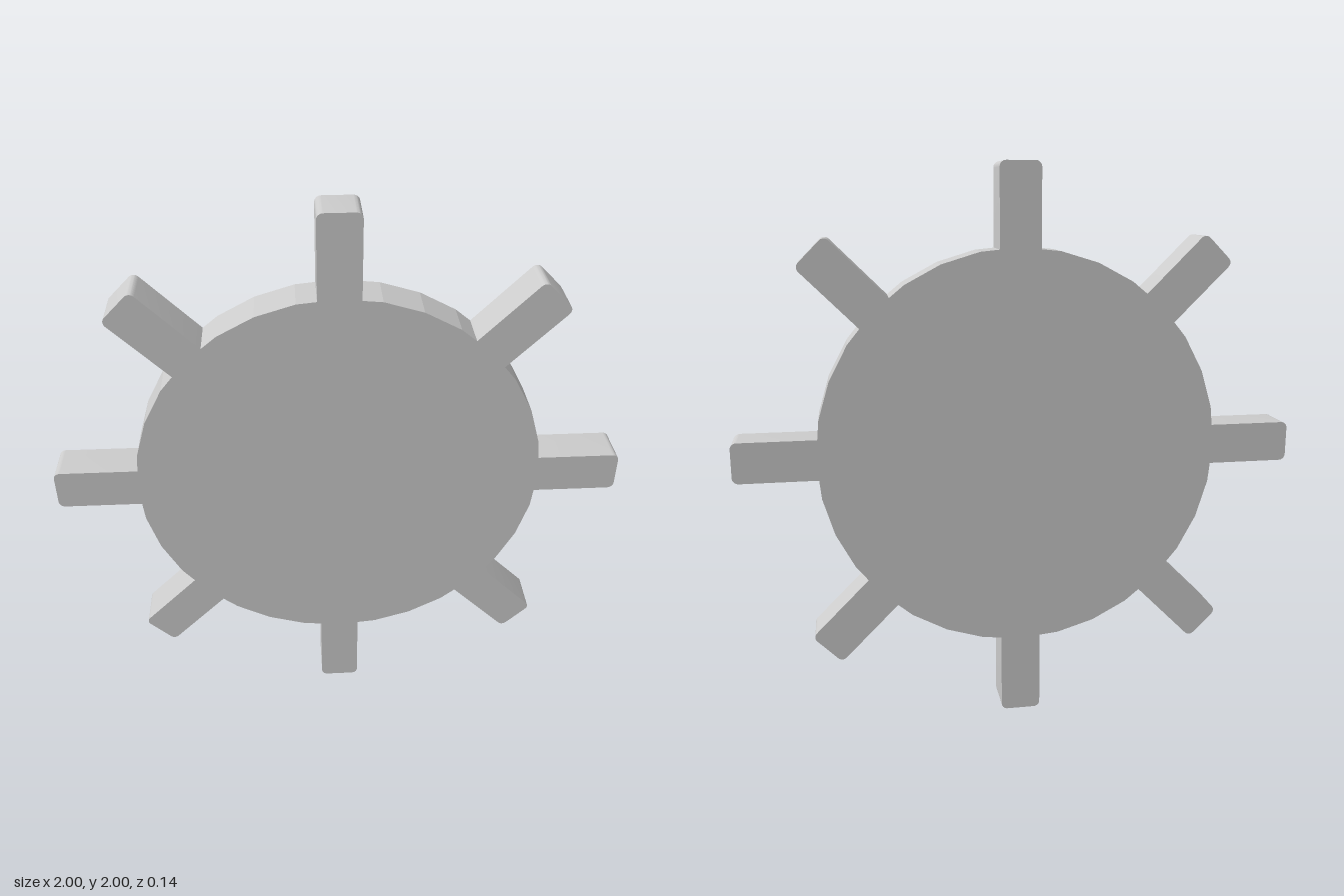
import * as THREE from 'three';
import { toCreasedNormals } from 'three/addons/utils/BufferGeometryUtils.js';

const SPOKES = 8;
const RIM = 0.715;     // radius of the 32-sided disc
const TIP = 1;         // reach of the spokes
const HALF = 0.072;    // half width and half depth of a spoke
const CORNER = 0.022;  // rounding of the spoke tips
const STEPS = 10;      // segments per rounded corner

// Outline of one spoke along +x plus the rim up to the next spoke
function sectorPoints() {
  const side = Math.PI / 16;
  const root = RIM - HALF * Math.tan(side / 2); // where the spoke meets the rim facet
  const points = [[root, -HALF]];
  for (const [sign, start] of [[-1, -Math.PI / 2], [1, 0]]) {
    for (let i = 0; i <= STEPS; i++) {
      const a = start + (i / STEPS) * Math.PI / 2;
      points.push([
        TIP - CORNER + CORNER * Math.cos(a),
        sign * (HALF - CORNER) + CORNER * Math.sin(a),
      ]);
    }
  }
  points.push([root, HALF]);
  for (let i = 1; i <= 3; i++) points.push([RIM * Math.cos(i * side), RIM * Math.sin(i * side)]);
  return points.map(([x, y]) => new THREE.Vector2(x, y));
}

export function createModel() {
  const group = new THREE.Group();
  group.name = 'spokedDisc';

  // Repeat the sector around the centre to form the whole outline
  const outline = [];
  const centre = new THREE.Vector2();
  for (let i = 0; i < SPOKES; i++) {
    const angle = (i / SPOKES) * Math.PI * 2;
    outline.push(...sectorPoints().map((p) => p.rotateAround(centre, angle)));
  }

  // Flat plate with faceted rim and softly rounded spoke tips
  const plate = new THREE.ExtrudeGeometry(new THREE.Shape(outline), {
    depth: HALF * 2,
    bevelEnabled: false,
  });
  plate.translate(0, TIP, -HALF);
  const mesh = new THREE.Mesh(
    toCreasedNormals(plate, THREE.MathUtils.degToRad(10)),
    new THREE.MeshStandardMaterial({ color: 0xcccccc }),
  );
  mesh.name = 'discWithSpokes';
  group.add(mesh);
  return group;
}
